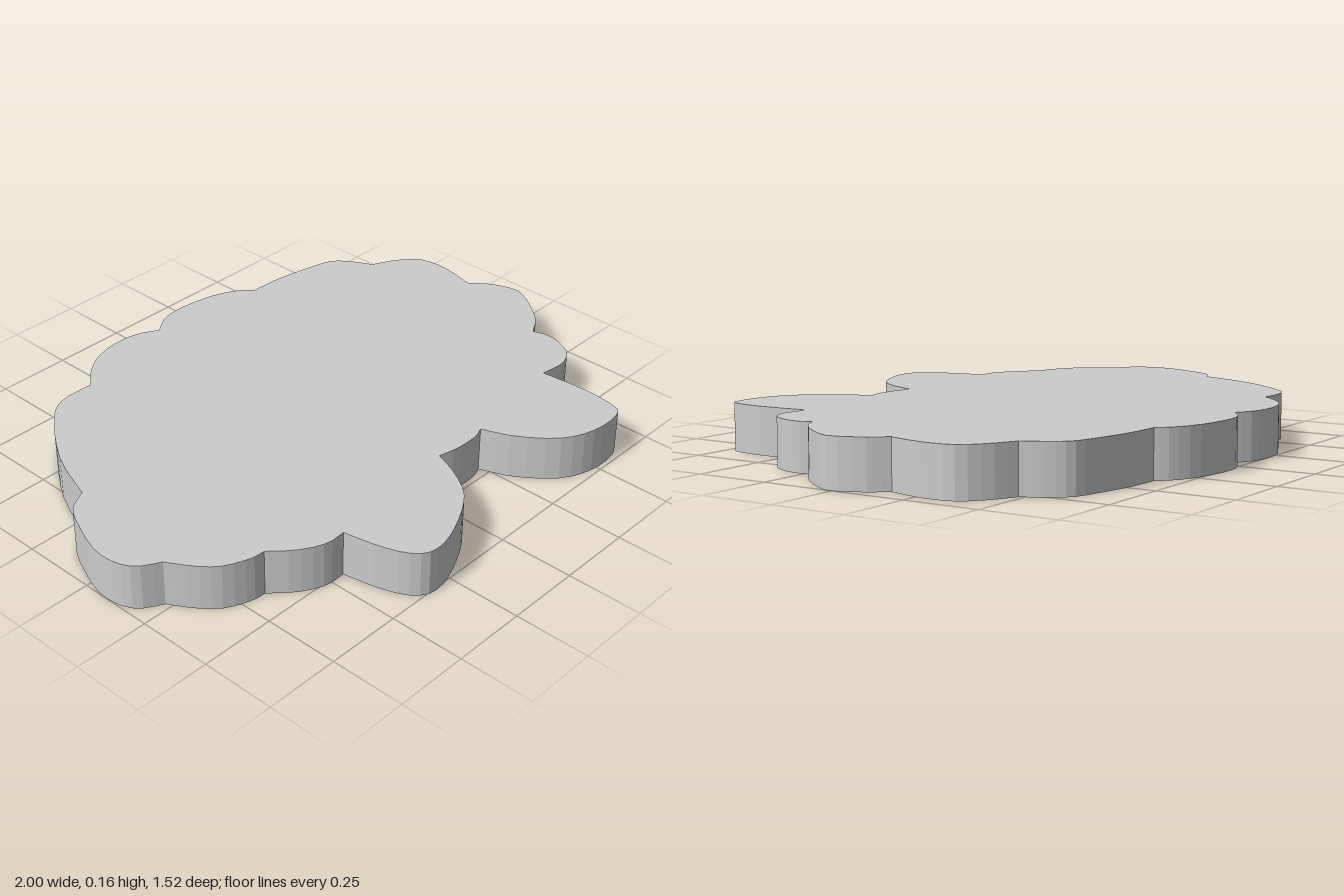
import * as THREE from 'three';

// Outline lobes as [x, z] points, clockwise from the left-rear notch.
// Each lobe is a smooth curve starting at the notch that ends the previous one.
const START = [-0.84, -0.19];
const LOBES = {
  rearLeft: [[-0.785, -0.345], [-0.71, -0.47], [-0.62, -0.58], [-0.545, -0.62], [-0.435, -0.62]],
  rearBumpA: [[-0.377, -0.685], [-0.3, -0.735], [-0.2, -0.755], [-0.115, -0.745], [-0.05, -0.71]],
  rearBumpB: [[0.02, -0.755], [0.11, -0.765], [0.24, -0.745], [0.325, -0.705], [0.365, -0.665]],
  rearRight: [[0.485, -0.66], [0.62, -0.635], [0.705, -0.61], [0.75, -0.56], [0.79, -0.485]],
  sideBumpA: [[0.87, -0.445], [0.935, -0.385], [0.95, -0.305], [0.94, -0.225], [0.92, -0.15]],
  sideBumpB: [[0.97, -0.085], [1, 0.005], [0.975, 0.07], [0.92, 0.145], [0.875, 0.19], [0.815, 0.225]],
  sideBumpC: [[0.83, 0.27], [0.82, 0.33], [0.785, 0.39], [0.72, 0.42], [0.63, 0.41]],
  footA: [[0.64, 0.535], [0.64, 0.615], [0.625, 0.705], [0.59, 0.73], [0.51, 0.735], [0.425, 0.715], [0.35, 0.665], [0.275, 0.565], [0.235, 0.465]],
  belly: [[0.19, 0.48], [0.11, 0.48], [0.035, 0.465]],
  footB: [[0, 0.55], [-0.055, 0.635], [-0.12, 0.685], [-0.21, 0.73], [-0.29, 0.755], [-0.355, 0.75], [-0.4, 0.7], [-0.43, 0.615], [-0.45, 0.51]],
  frontBumpA: [[-0.52, 0.51], [-0.6, 0.47], [-0.67, 0.405]],
  frontBumpB: [[-0.72, 0.4], [-0.8, 0.365], [-0.855, 0.305], [-0.9, 0.23]],
  sideBumpD: [[-0.965, 0.19], [-0.995, 0.13], [-0.995, 0.04], [-0.95, -0.08], [-0.91, -0.15], START],
};
const THICKNESS = 0.155;

export function createModel() {
  const group = new THREE.Group();
  group.name = 'scallopedPlate';

  // Shape is drawn in XY with y = -z, then laid flat
  const outline = new THREE.Shape();
  outline.moveTo(START[0], -START[1]);
  for (const lobe of Object.values(LOBES)) {
    outline.splineThru(lobe.map(([x, z]) => new THREE.Vector2(x, -z)));
  }

  const geometry = new THREE.ExtrudeGeometry(outline, {
    depth: THICKNESS,
    bevelEnabled: false,
    curveSegments: 2,
  });
  geometry.rotateX(-Math.PI / 2);

  const plate = new THREE.Mesh(geometry, new THREE.MeshStandardMaterial({ color: 0xcccccc }));
  plate.name = 'plate';
  group.add(plate);
  return group;
}
